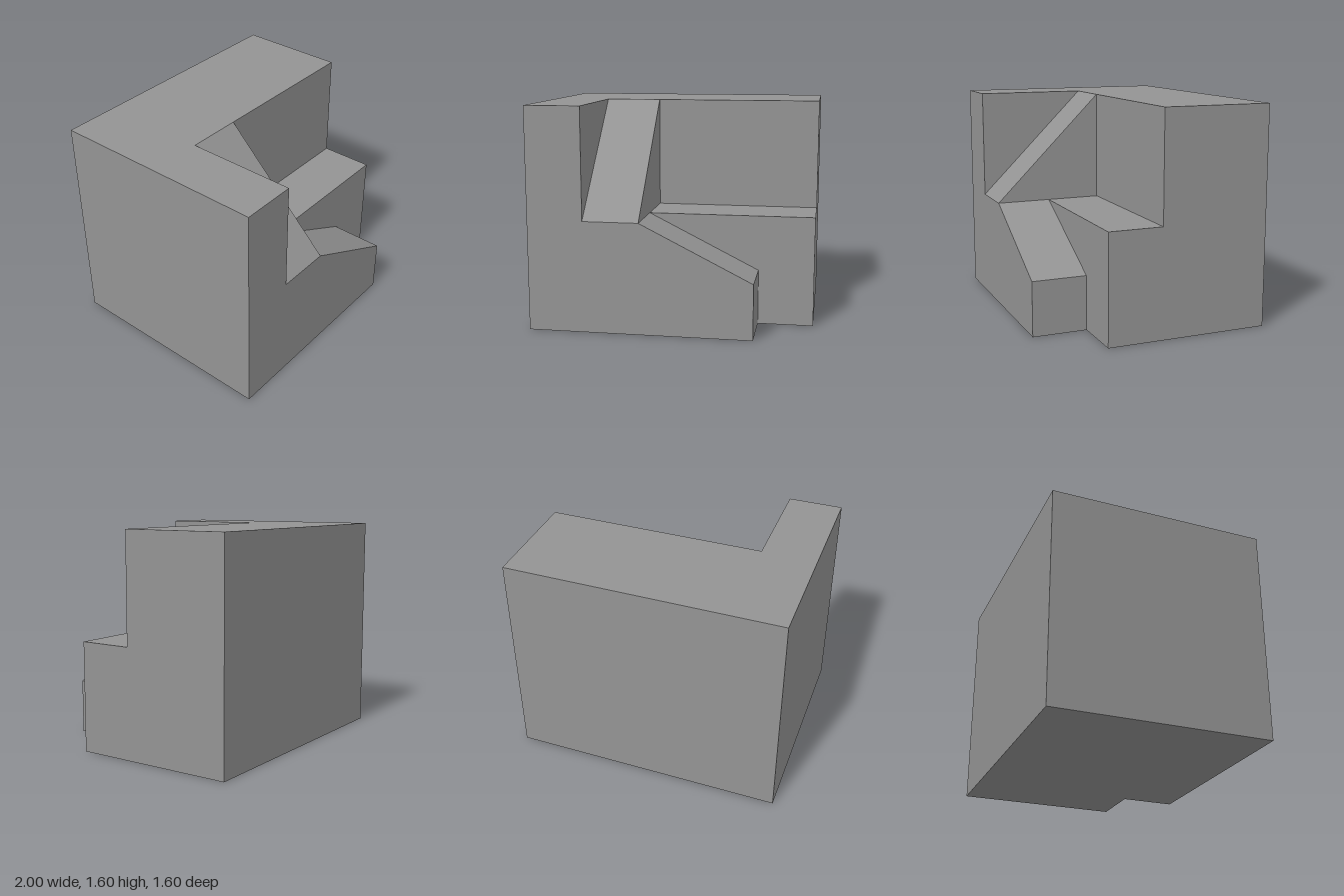
import * as THREE from 'three';

// Flat face: 2D outline placed in space by `place`, wound to face `outward`
function face(place, outward, outline) {
  const pts = outline.map(([a, b]) => new THREE.Vector2(a, b));
  if (THREE.ShapeUtils.isClockWise(pts)) pts.reverse();
  const v = pts.map((p) => new THREE.Vector3(...place(p.x, p.y)));
  const out = [];
  for (const [i, j, k] of THREE.ShapeUtils.triangulateShape(pts, [])) {
    const n = v[j].clone().sub(v[i]).cross(v[k].clone().sub(v[i]));
    const order = n.dot(new THREE.Vector3(...outward)) > 0 ? [i, j, k] : [i, k, j];
    for (const q of order) out.push(...v[q].toArray());
  }
  return out;
}

// Faces square to an axis; outlines are (z, y), (x, z) and (x, y)
const acrossX = (x, dir, o) => face((z, y) => [x, y, z], [dir, 0, 0], o);
const acrossY = (y, dir, o) => face((x, z) => [x, y, z], [0, dir, 0], o);
const acrossZ = (z, dir, o) => face((x, y) => [x, y, z], [0, 0, dir], o);
const rect = (a0, b0, a1, b1) => [[a0, b0], [a1, b0], [a1, b1], [a0, b1]];

export function createModel() {
  const group = new THREE.Group();
  const grey = new THREE.MeshStandardMaterial({ color: 0x949494 });
  grey.name = 'grey';

  const add = (name, ...faces) => {
    const geo = new THREE.BufferGeometry();
    geo.setAttribute('position', new THREE.Float32BufferAttribute(faces.flat(), 3));
    geo.computeVertexNormals();
    const mesh = new THREE.Mesh(geo, grey);
    mesh.name = name;
    group.add(mesh);
  };

  // Outer walls, base and L-shaped top of the block
  add('block',
    acrossY(0, -1, [[-1, -0.8], [1, -0.8], [1, 0.4], [0.6, 0.4], [0.6, 0.8], [-1, 0.8]]),
    acrossY(1.6, 1, [[-1, -0.8], [1, -0.8], [1, 0], [-0.6, 0], [-0.6, 0.8], [-1, 0.8]]),
    acrossZ(-0.8, -1, rect(-1, 0, 1, 1.6)),
    acrossX(-1, -1, rect(-0.8, 0, 0.8, 1.6)),
    acrossX(1, 1, [[-0.8, 0], [0.4, 0], [0.4, 0.8], [0, 0.8], [0, 1.6], [-0.8, 1.6]]),
    acrossZ(0.8, 1, [[-1, 0], [0.6, 0], [0.6, 0.4], [-0.2, 0.8], [-0.6, 0.8], [-0.6, 1.6], [-1, 1.6]]),
    acrossX(-0.6, 1, [[0.8, 0.8], [0.8, 1.6], [0, 1.6]]),
    acrossZ(0, 1, rect(-0.2, 0.8, 1, 1.6)));

  // Steep ramp up to the top, with its exposed side
  add('upperRamp',
    face((x, z) => [x, 1.6 - z, z], [0, 1, 1], rect(-0.6, 0, -0.2, 0.8)),
    acrossX(-0.2, 1, [[0, 0.8], [0.8, 0.8], [0, 1.6]]));

  // Level ledge and the wall below it
  add('ledge',
    acrossY(0.8, 1, rect(-0.2, 0, 1, 0.4)),
    acrossZ(0.4, 1, [[0.6, 0], [1, 0], [1, 0.8], [-0.2, 0.8], [0.6, 0.4]]));

  // Gentle ramp down along the front, with its end wall
  add('lowerRamp',
    face((x, z) => [x, 0.7 - x / 2, z], [1, 2, 0], rect(-0.2, 0.4, 0.6, 0.8)),
    acrossX(0.6, 1, rect(0.4, 0, 0.8, 0.4)));

  return group;
}
